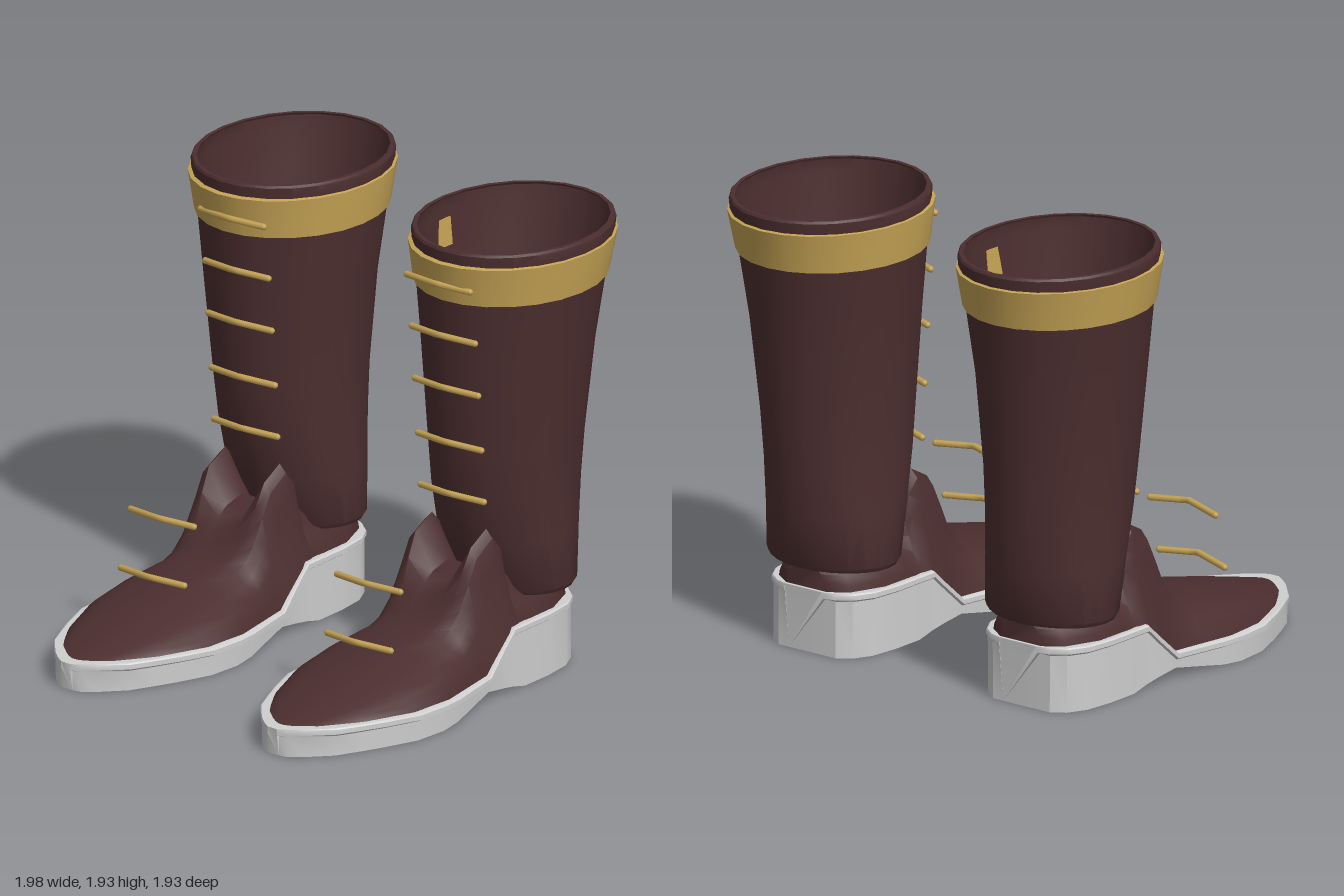
import * as THREE from 'three';
import { toCreasedNormals } from 'three/addons/utils/BufferGeometryUtils.js';

// Skins a list of equal-length rings, each counter-clockwise about the direction of travel
function loft(rings, caps, crease = 0.6) {
  const n = rings[0].length, index = [], last = (rings.length - 1) * n;
  for (let i = 0; i < rings.length - 1; i++) {
    for (let j = 0; j < n; j++) {
      const a = i * n + j, b = i * n + (j + 1) % n;
      index.push(a, b, b + n, a, b + n, a + n);
    }
  }
  if (caps) {
    for (let j = 1; j < n - 1; j++) index.push(0, j + 1, j, last, last + j, last + j + 1);
  }
  const g = new THREE.BufferGeometry();
  g.setAttribute('position', new THREE.Float32BufferAttribute(rings.flat(2), 3));
  g.setIndex(index);
  return toCreasedNormals(g, crease);
}

// Horizontal ellipse ring
function ellipse(y, cx, cz, rx, rz, n = 24) {
  return Array.from({ length: n }, (_, i) => {
    const a = (i / n) * Math.PI * 2;
    return [cx + rx * Math.cos(a), y, cz - rz * Math.sin(a)];
  });
}

// Piecewise linear lookup in [key, value] pairs
function lerpTable(table, k) {
  for (let i = 1; i < table.length; i++) {
    if (k <= table[i][0]) {
      const [a, va] = table[i - 1], [b, vb] = table[i];
      return va + (vb - va) * Math.max(0, (k - a) / (b - a));
    }
  }
  return table[table.length - 1][1];
}

// Leg shaft: y, centre x, centre z, half width, half depth
const SHAFT = [
  [0.365, 0.567, -0.51, 0.285, 0.222], [0.385, 0.567, -0.51, 0.297, 0.234],
  [0.6, 0.57, -0.49, 0.293, 0.285], [0.8, 0.575, -0.472, 0.294, 0.32],
  [1.0, 0.58, -0.467, 0.302, 0.342], [1.4, 0.587, -0.472, 0.335, 0.38],
  [1.7, 0.59, -0.487, 0.367, 0.418], [1.87, 0.594, -0.496, 0.386, 0.452],
  [1.92, 0.594, -0.497, 0.389, 0.457], [1.93, 0.594, -0.497, 0.383, 0.451]];

function shaftGeometry(s) {
  const ring = ([y, cx, cz, rx, rz], inset = 0) => ellipse(y, cx * s, cz, rx - inset, rz - inset);
  const inner = SHAFT.map(r => ring(r, 0.018)).reverse();
  return loft([inner[inner.length - 1], ...SHAFT.map(r => ring(r)), ...inner]);
}

function bandGeometry(s) {
  return loft([
    ellipse(1.7, 0.59 * s, -0.487, 0.365, 0.415),
    ellipse(1.7, 0.59 * s, -0.487, 0.378, 0.432),
    ellipse(1.87, 0.594 * s, -0.493, 0.396, 0.47),
    ellipse(1.875, 0.594 * s, -0.493, 0.38, 0.45)], false);
}

// Sole: half width, top line and underside along z
const SOLE_WIDTH = [[-0.72, 0.1], [-0.705, 0.155], [-0.66, 0.215], [-0.58, 0.26], [-0.45, 0.28],
  [-0.3, 0.285], [-0.22, 0.288], [-0.15, 0.292], [-0.05, 0.305], [0.1, 0.337], [0.2, 0.36], [0.3, 0.37],
  [0.45, 0.36], [0.6, 0.303], [0.7, 0.257], [0.8, 0.207], [0.9, 0.115], [0.94, 0.065], [0.965, 0.025]];
const SOLE_TOP = [[-0.72, 0.278], [-0.22, 0.278], [-0.05, 0.12], [0.97, 0.12]];
const SOLE_BOTTOM = [[-0.3, 0], [-0.22, 0.02], [-0.05, 0.05], [0.25, 0]];

function soleGeometry(cx) {
  return loft(SOLE_WIDTH.map(([z, w]) => {
    const top = lerpTable(SOLE_TOP, z), bottom = lerpTable(SOLE_BOTTOM, z);
    const low = THREE.MathUtils.clamp(z, -0.7, 0.95);
    const half = [[w * 0.95, bottom, low], [w * 0.96, top - 0.034, low], [w, top - 0.026, z],
      [w, top - 0.006, z], [w * 0.97, top, z], [w * 0.85, top, z]];
    const right = half.map(([x, y, zz]) => [cx + x, y, zz]);
    const left = half.map(([x, y, zz]) => [cx - x, y, zz]).reverse();
    return [...right, ...left];
  }), true);
}

// Foot upper: z, half width, base y, top y, steepness, depth of the valley between the side flaps
const UPPER = [
  [-0.705, 0.11, 0.25, 0.38, 0, 0], [-0.65, 0.19, 0.25, 0.42, 0, 0], [-0.5, 0.255, 0.25, 0.45, 0, 0],
  [-0.35, 0.262, 0.25, 0.45, 0, 0], [-0.275, 0.268, 0.25, 0.5, 1, 0.06], [-0.255, 0.27, 0.25, 0.62, 1, 0.17],
  [-0.2, 0.275, 0.25, 0.685, 1, 0.2], [-0.1, 0.28, 0.15, 0.63, 1, 0.17], [-0.05, 0.285, 0.1, 0.53, 0.9, 0.1],
  [0, 0.295, 0.1, 0.42, 0.7, 0.03], [0.05, 0.305, 0.1, 0.345, 0.4, 0], [0.1, 0.315, 0.1, 0.31, 0.2, 0],
  [0.25, 0.345, 0.1, 0.275, 0, 0], [0.45, 0.335, 0.1, 0.227, 0, 0], [0.66, 0.255, 0.1, 0.178, 0, 0],
  [0.83, 0.155, 0.1, 0.135, 0, 0], [0.92, 0.06, 0.1, 0.118, 0, 0]];
const ROUND = [[1, 0], [0.95, 0.3], [0.85, 0.55], [0.7, 0.75], [0.5, 0.9], [0.25, 0.98]];
const STEEP = [[1, 0], [0.92, 0.2], [0.8, 0.45], [0.72, 0.7], [0.65, 0.92], [0.53, 1]];

function upperGeometry(cx) {
  return loft(UPPER.map(([z, w, base, top, k, dip]) => {
    const half = ROUND.map(([u, v], i) => [
      w * THREE.MathUtils.lerp(u, STEEP[i][0], k),
      base + (top - base) * THREE.MathUtils.lerp(v, STEEP[i][1], k)]);
    half.push([w * 0.2, top - dip * 0.9]);
    const right = half.map(([x, y]) => [cx + x, y, z]);
    const left = half.map(([x, y]) => [cx - x, y, z]).reverse();
    return [...right, [cx, top - dip, z], ...left].filter((_, i) => i !== half.length);
  }), true, 0.7);
}

// Lace bars: y and z of the middle of each bar
const LACES = [[0.35, 0.465], [0.59, 0.405], [0.83, -0.115], [1.06, -0.1],
  [1.305, -0.08], [1.54, -0.06], [1.775, -0.03]];

function laceGeometry(cx, y, z) {
  const path = new THREE.CurvePath();
  const p = [[-0.17, -0.018, -0.042], [0, 0, 0], [0.17, -0.01, -0.042]]
    .map(([dx, dy, dz]) => new THREE.Vector3(cx + dx, y + dy, z + dz));
  path.add(new THREE.LineCurve3(p[0], p[1]));
  path.add(new THREE.LineCurve3(p[1], p[2]));
  return new THREE.TubeGeometry(path, 8, 0.014, 8);
}

export function createModel() {
  const leather = new THREE.MeshStandardMaterial({ color: 0x4c2e2f, side: THREE.DoubleSide });
  leather.name = 'brown leather';
  const gold = new THREE.MeshStandardMaterial({ color: 0xc4a254, side: THREE.DoubleSide });
  gold.name = 'gold trim';
  const rubber = new THREE.MeshStandardMaterial({ color: 0xcfcfcf });
  rubber.name = 'pale sole';

  const model = new THREE.Group();
  model.name = 'boots';
  for (const s of [1, -1]) {
    const boot = new THREE.Group();
    boot.name = s > 0 ? 'leftBoot' : 'rightBoot';
    const add = (name, geometry, material) => {
      const mesh = new THREE.Mesh(geometry, material);
      mesh.name = name;
      boot.add(mesh);
      return mesh;
    };
    const cx = 0.557 * s;
    add('sole', soleGeometry(cx), rubber);
    add('footUpper', upperGeometry(cx), leather);
    add('shaft', shaftGeometry(s), leather);
    add('cuffBand', bandGeometry(s), gold);
    // Small gold patch on the inner wall of the cuff
    const patch = add('cuffPatch', new THREE.BoxGeometry(0.008, 0.12, 0.1), gold);
    patch.position.set(0.236 * s, 1.78, -0.47);
    patch.rotation.z = 0.1 * s;
    // Bars also cap their open tube ends with small spheres
    LACES.forEach(([y, z], i) => {
      add('lace' + (i + 1), laceGeometry(cx, y, z), gold);
      for (const [dx, dy] of [[-0.17, -0.018], [0.17, -0.01]]) {
        add('laceEnd', new THREE.SphereGeometry(0.014, 8, 6), gold)
          .position.set(cx + dx, y + dy, z - 0.042);
      }
    });
    model.add(boot);
  }
  return model;
}
